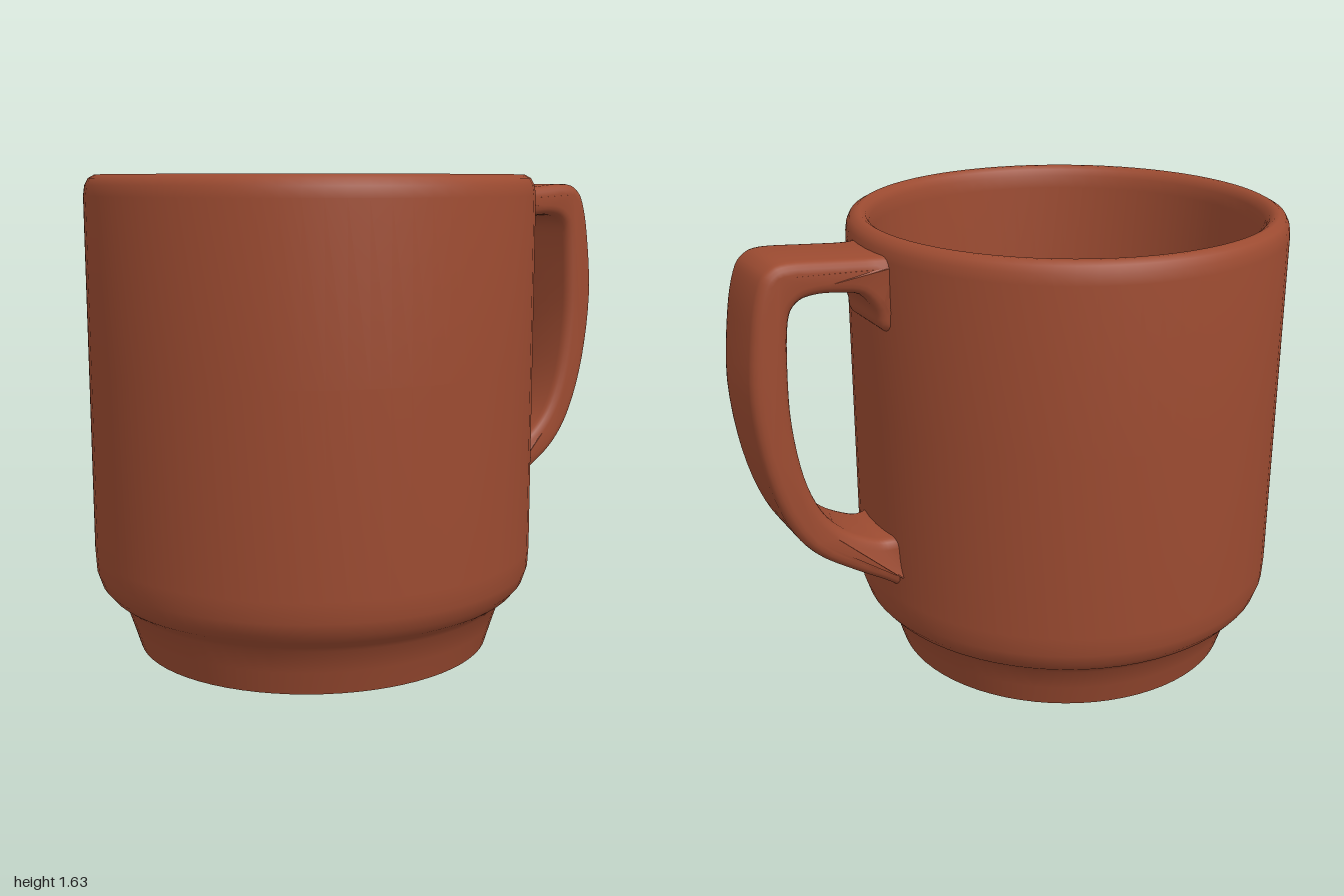
import * as THREE from 'three';
import { toCreasedNormals } from 'three/addons/utils/BufferGeometryUtils.js';

const CUP_X = -0.23;
const v2 = ([x, y]) => new THREE.Vector2(x, y);

// Cup: one closed profile, from under the foot, up the wall, over the rim and down to the inner floor
function cupGeometry() {
  const profile = [
    [0, 0], [0.62, 0], [0.645, 0.08], [0.672, 0.16], [0.69, 0.18], [0.725, 0.205],
    [0.75, 0.235], [0.765, 0.28], [0.769, 0.35], [0.769, 1.0], [0.769, 1.56],
    [0.764, 1.595], [0.752, 1.618], [0.73, 1.63], [0.715, 1.63], [0.697, 1.618],
    [0.686, 1.595], [0.682, 1.55], [0.675, 0.9], [0.665, 0.4], [0.65, 0.29],
    [0.62, 0.22], [0.575, 0.19], [0.54, 0.18], [0, 0.18],
  ].map(v2);
  return toCreasedNormals(new THREE.LatheGeometry(profile, 72), 0.7);
}

// Handle: a side outline with rounded edges, flared where it meets the cup
function handleGeometry() {
  const outer = new THREE.SplineCurve([
    [0.48, 0.36], [0.54, 0.41], [0.67, 0.49], [0.81, 0.59], [0.9, 0.72], [0.965, 0.92],
    [0.995, 1.17], [0.975, 1.4], [0.945, 1.53], [0.91, 1.58], [0.85, 1.598],
    [0.7, 1.587], [0.56, 1.576], [0.48, 1.58],
  ].map(v2)).getPoints(52);
  const inner = new THREE.SplineCurve([
    [0.48, 1.3], [0.545, 1.34], [0.56, 1.4], [0.61, 1.46], [0.69, 1.478], [0.77, 1.482],
    [0.825, 1.465], [0.855, 1.41], [0.867, 1.25], [0.865, 1.07], [0.835, 0.88],
    [0.78, 0.74], [0.7, 0.65], [0.6, 0.595], [0.545, 0.585], [0.48, 0.6],
  ].map(v2)).getPoints(60);
  const width = 0.28, bevel = 0.035;
  const geometry = new THREE.ExtrudeGeometry(new THREE.Shape([...outer, ...inner]), {
    depth: width - 2 * bevel, bevelEnabled: true, bevelThickness: bevel,
    bevelSize: bevel, bevelOffset: -bevel, bevelSegments: 4, steps: 1,
  });
  geometry.translate(0, 0, bevel - width / 2);
  const p = geometry.attributes.position;
  for (let i = 0; i < p.count; i++) {
    const flare = Math.max(0, (0.58 - p.getX(i)) / 0.1);
    p.setZ(i, p.getZ(i) * (1 + 0.25 * flare * flare));
  }
  return toCreasedNormals(geometry, 0.9);
}

export function createModel() {
  const group = new THREE.Group();
  group.name = 'mug';
  const clay = new THREE.MeshStandardMaterial({ color: 0x9c4b31 });
  clay.name = 'terracotta';

  const cup = new THREE.Mesh(cupGeometry(), clay);
  cup.name = 'cup';
  cup.position.x = CUP_X;

  const handle = new THREE.Mesh(handleGeometry(), clay);
  handle.name = 'handle';

  group.add(cup, handle);
  return group;
}
